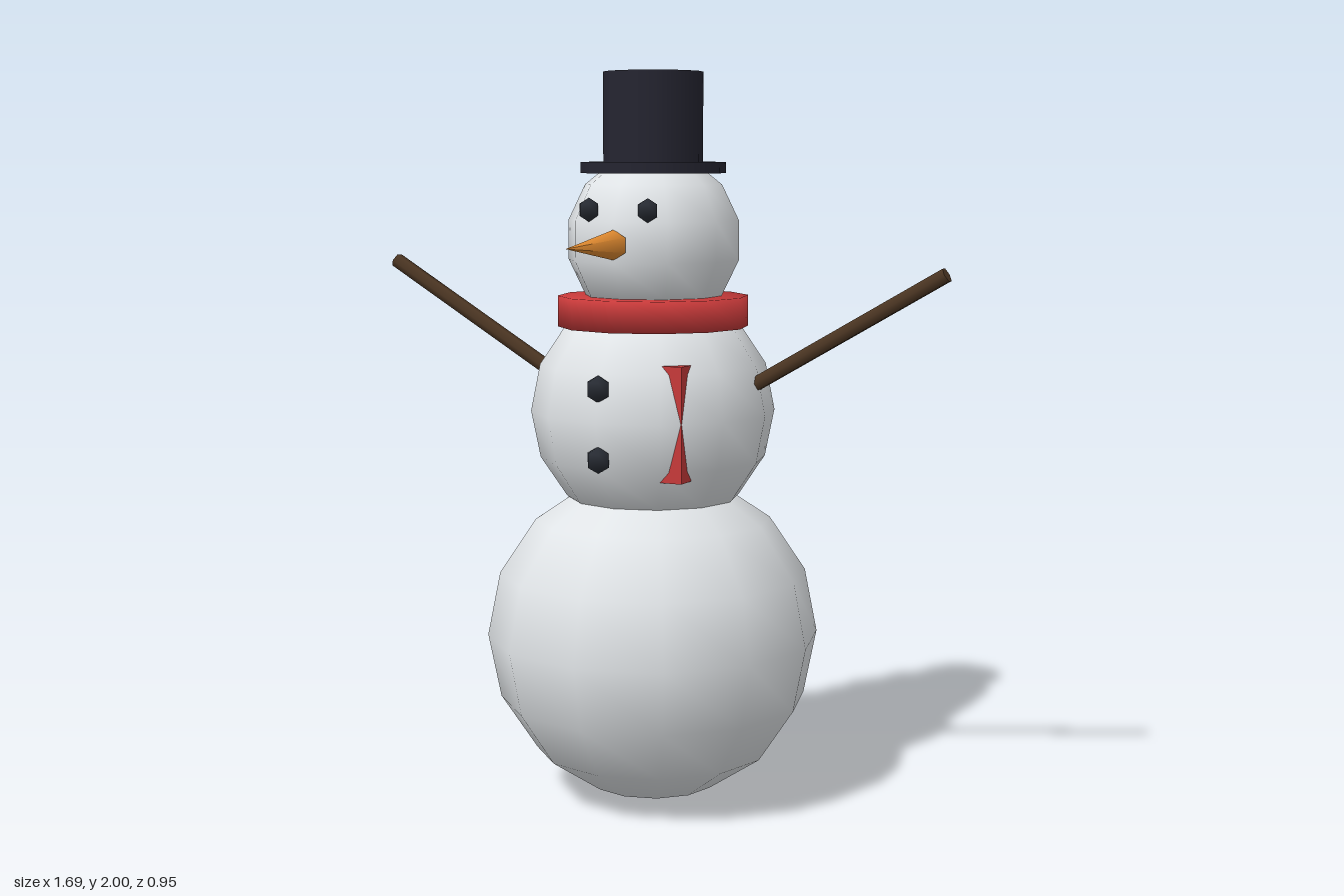
import * as THREE from 'three';

const mat = (name, color) => {
  const m = new THREE.MeshStandardMaterial({ color });
  m.name = name;
  return m;
};

export function createModel() {
  const snow = mat('snow', 0xeef2f5);
  const hatBlack = mat('hat black', 0x252531);
  const coal = mat('coal', 0x282c34);
  const scarfRed = mat('scarf red', 0xc83a3a);
  const carrot = mat('carrot', 0xe08a30);
  const wood = mat('wood', 0x4c3623);

  const group = new THREE.Group();
  const Z = -0.015; // axis of the body

  const add = (name, geometry, material, x, y, z) => {
    const mesh = new THREE.Mesh(geometry, material);
    mesh.name = name;
    mesh.position.set(x, y, z);
    group.add(mesh);
    return mesh;
  };

  // Snowballs
  add('lowerBody', new THREE.SphereGeometry(0.459, 12, 8), snow, 0, 0.459, Z);
  add('upperBody', new THREE.SphereGeometry(0.335, 12, 8), snow, 0, 1.085, Z);
  add('head', new THREE.SphereGeometry(0.24, 10, 7).rotateY(Math.PI / 2), snow, 0, 1.55, Z);

  // Hat
  add('hatBrim', new THREE.CylinderGeometry(0.197, 0.197, 0.03, 12), hatBlack, 0, 1.745, Z);
  add('hatCrown', new THREE.CylinderGeometry(0.135, 0.135, 0.25, 12), hatBlack, 0, 1.875, Z);

  // Scarf: a soft-shaded band, and a tail sunk into the chest
  const band = [[0.15, -0.042], [0.26, -0.042], [0.26, 0.042], [0.15, 0.042]]
    .map(([r, y]) => new THREE.Vector2(r, y));
  add('scarf', new THREE.LatheGeometry(band, 12), scarfRed, 0, 1.358, Z);
  add('scarfTail', new THREE.BoxGeometry(0.11, 0.307, 0.06), scarfRed, 0.153, 1.082, 0.206);

  // Coal eyes and buttons
  for (const side of [1, -1]) {
    add(side > 0 ? 'leftEye' : 'rightEye', new THREE.SphereGeometry(0.032, 6, 3), coal, side * 0.087, 1.635, 0.19);
  }
  for (const y of [1.175, 0.988]) {
    add('button', new THREE.SphereGeometry(0.036, 6, 3), coal, 0, y, 0.305);
  }

  // Carrot nose pointing forward
  const nose = new THREE.ConeGeometry(0.04, 0.257, 6).rotateX(Math.PI / 2);
  add('nose', nose, carrot, 0, 1.545, 0.3445);

  // Stick arms, rising outward
  const up = new THREE.Vector3(0, 1, 0);
  for (const side of [1, -1]) {
    const start = new THREE.Vector3(side * 0.27, 1.15, Z);
    const end = new THREE.Vector3(side * 0.834, 1.477, Z);
    const dir = end.clone().sub(start);
    const mid = start.clone().add(end).multiplyScalar(0.5);
    const arm = add(side > 0 ? 'leftArm' : 'rightArm',
      new THREE.CylinderGeometry(0.021, 0.021, dir.length(), 6), wood, mid.x, mid.y, mid.z);
    arm.quaternion.setFromUnitVectors(up, dir.normalize());
  }

  return group;
}
